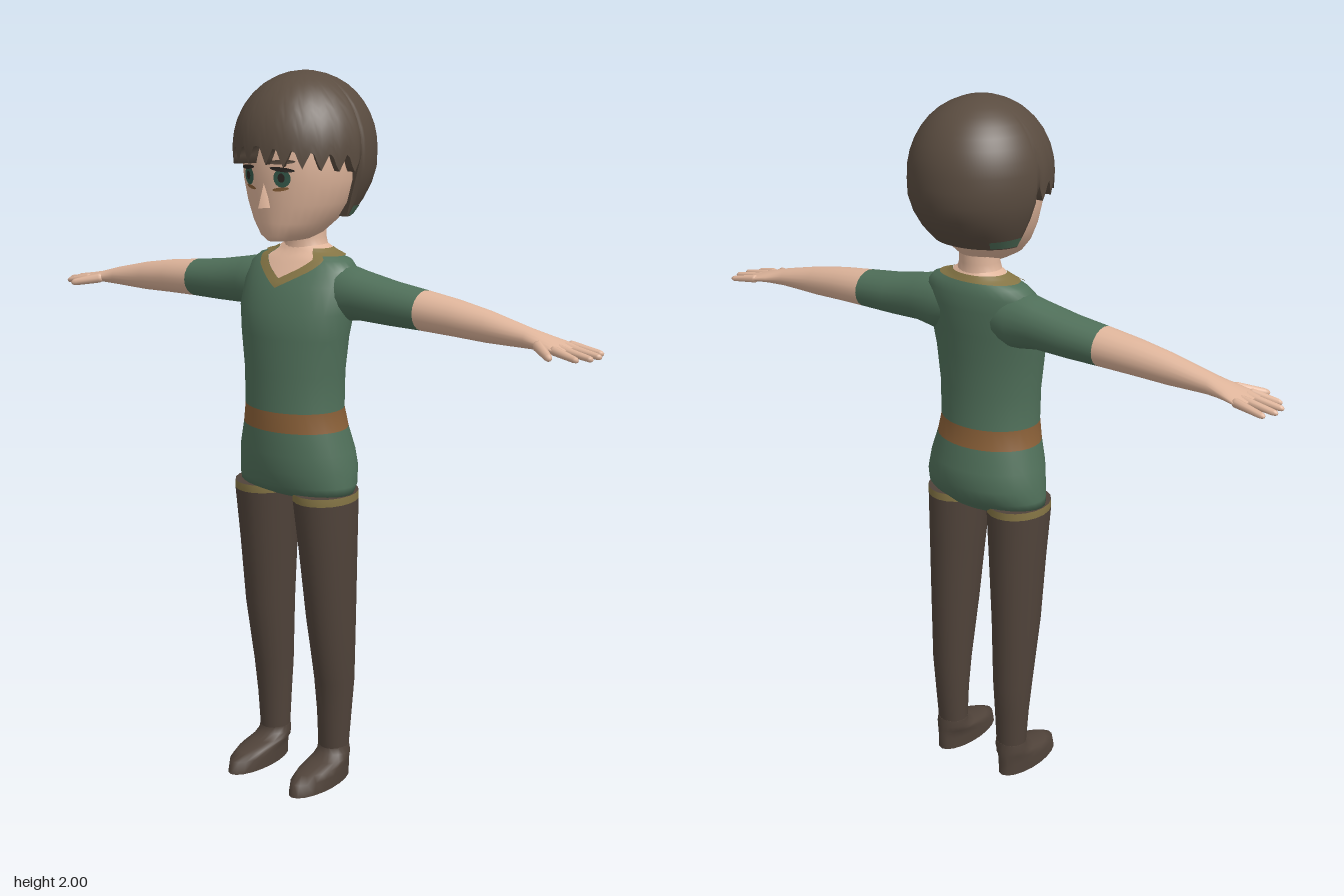
import * as THREE from 'three';

const paint = (name, color) => {
  const m = new THREE.MeshStandardMaterial({ color });
  m.name = name;
  return m;
};
const skin = paint('skin', 0xdfb59b);
const brownHair = paint('hair brown', 0x5a4c40);
const cloth = paint('trouser brown', 0x50433a);
const green = paint('shirt green', 0x50705a);
const gold = paint('trim gold', 0x857545);
const leather = paint('belt leather', 0x8a6038);
const irisGreen = paint('iris green', 0x35594a);
const dark = paint('dark line', 0x2b2622);

const TAU = Math.PI * 2;
const lerp = THREE.MathUtils.lerp;

// Cross-section tables run from top to bottom: [y, centre x, half width, front z, back z]
const torsoTable = [
  [1.54, 0, 0.055, 0.042, -0.052], [1.52, 0, 0.095, 0.055, -0.065], [1.505, 0, 0.15, 0.07, -0.075],
  [1.48, 0, 0.175, 0.09, -0.083], [1.44, 0, 0.18, 0.12, -0.085], [1.37, 0, 0.177, 0.152, -0.08],
  [1.3, 0, 0.165, 0.16, -0.073], [1.2, 0, 0.152, 0.16, -0.07], [1.1, 0, 0.147, 0.165, -0.075],
  [1.045, 0, 0.157, 0.165, -0.085], [0.98, 0, 0.175, 0.165, -0.1], [0.93, 0, 0.183, 0.16, -0.105],
  [0.89, 0, 0.187, 0.15, -0.09], [0.868, 0, 0.186, 0.138, -0.066], [0.85, 0, 0.13, 0.1, -0.05],
];
const headTable = [
  [1.94, 0, 0.09, 0.09, -0.09], [1.88, 0, 0.15, 0.155, -0.15], [1.8, 0, 0.165, 0.175, -0.17],
  [1.72, 0, 0.157, 0.171, -0.16], [1.66, 0, 0.137, 0.165, -0.13], [1.61, 0, 0.106, 0.16, -0.085],
  [1.575, 0, 0.07, 0.155, -0.05], [1.56, 0, 0.042, 0.143, -0.03],
];
const neckTable = [
  [1.62, 0, 0.058, 0.05, -0.06], [1.56, 0, 0.056, 0.048, -0.058], [1.535, 0, 0.064, 0.052, -0.06],
  [1.5, 0, 0.08, 0.055, -0.065],
];
// Arms are lofted upright and then laid along x, so here y is the distance from the body
const armTable = [
  [0.84, -1.355, 0.008, 0.045, -0.052], [0.81, -1.36, 0.012, 0.052, -0.055], [0.77, -1.366, 0.018, 0.045, -0.045],
  [0.72, -1.372, 0.026, 0.034, -0.031], [0.6, -1.385, 0.041, 0.042, -0.04], [0.5, -1.395, 0.048, 0.05, -0.05],
  [0.4, -1.402, 0.053, 0.058, -0.06], [0.3, -1.408, 0.059, 0.062, -0.064], [0.2, -1.418, 0.067, 0.066, -0.066],
  [0.13, -1.42, 0.08, 0.075, -0.075], [0.08, -1.42, 0.07, 0.06, -0.07],
];
const legTable = [
  [0.868, 0.105, 0.085, 0.14, -0.062], [0.846, 0.105, 0.086, 0.14, -0.062], [0.7, 0.108, 0.077, 0.122, -0.06],
  [0.5, 0.112, 0.067, 0.1, -0.056], [0.3, 0.113, 0.057, 0.065, -0.052], [0.2, 0.112, 0.05, 0.054, -0.045],
  [0.08, 0.11, 0.044, 0.047, -0.036],
];
const shoeTable = [
  [0.1, 0.11, 0.046, 0.047, -0.038], [0.08, 0.111, 0.048, 0.052, -0.041], [0.064, 0.112, 0.05, 0.085, -0.043],
  [0.052, 0.114, 0.051, 0.155, -0.044], [0.035, 0.115, 0.052, 0.19, -0.045], [0, 0.115, 0.051, 0.2, -0.045],
];
// Domed crown above straight-falling sides
const hairTable = [0, 0.2, 0.4, 0.6, 0.8, 1, 1.2, 1.4]
  .map(a => [1.8 + 0.2 * Math.cos(a), 0, 0.19 * Math.sin(a), 0.2 * Math.sin(a), -0.2 * Math.sin(a)]);
hairTable.push([1.8, 0, 0.19, 0.2, -0.2], [1.74, 0, 0.186, 0.2, -0.2],
  [1.68, 0, 0.165, 0.16, -0.175], [1.62, 0, 0.13, 0.09, -0.11]);

// Cross-section at any height
function sectionAt(table, y) {
  let i = 0;
  while (i < table.length - 2 && y < table[i + 1][0]) i++;
  const a = table[i], b = table[i + 1];
  const k = THREE.MathUtils.clamp((a[0] - y) / (a[0] - b[0]), 0, 1);
  return [y, ...[1, 2, 3, 4].map(n => lerp(a[n], b[n], k))];
}

// Point on a section; angle 0 is the front and a quarter turn is +x
function onSection([y, cx, rx, zf, zb], t, grow = 0) {
  return [cx + (rx + grow) * Math.sin(t), y, (zf + zb) / 2 + ((zf - zb) / 2 + grow) * Math.cos(t)];
}

// Joins rows of points, listed top to bottom, into one smooth skin
function skinRows(rows, closed, bandOf) {
  const n = rows[0].length, index = [], geo = new THREE.BufferGeometry();
  for (let i = 0; i < rows.length - 1; i++) {
    const start = index.length;
    for (let j = 0; j < (closed ? n : n - 1); j++) {
      const k = (j + 1) % n, a = i * n, b = a + n;
      index.push(a + j, b + j, b + k, a + j, b + k, a + k);
    }
    if (bandOf) geo.addGroup(start, index.length - start, bandOf(i));
  }
  geo.setAttribute('position', new THREE.Float32BufferAttribute(rows.flat(2), 3));
  geo.setIndex(index);
  geo.computeVertexNormals();
  return geo;
}

function loft(table, sides = 24, bandOf) {
  const first = table[0], last = table[table.length - 1];
  const point = s => [s[0], s[1], 0, (s[3] + s[4]) / 2, (s[3] + s[4]) / 2];
  // end rings are doubled so the caps keep a sharp edge
  const all = [point(first), first, ...table, last, point(last)];
  const rows = all.map(s => Array.from({ length: sides }, (_, j) => onSection(s, j / sides * TAU)));
  return skinRows(rows, true, bandOf && (i => bandOf(i - 2)));
}

// Strip lying on a lofted surface, between two heights that vary with the angle
function strip(table, topY, bottomY, grow, from, to, cols, steps = 5) {
  const rows = [];
  for (let i = 0; i <= steps; i++) {
    rows.push(Array.from({ length: cols + 1 }, (_, j) => {
      const t = lerp(from, to, j / cols);
      const p = onSection(sectionAt(table, lerp(topY(t), bottomY(t), i / steps)), t, grow);
      p[1] += grow * 0.7;
      return p;
    }));
  }
  return skinRows(rows, false);
}

function mirrored(source) {
  const geo = source.clone().scale(-1, 1, 1), ix = geo.index;
  for (let i = 0; i < ix.count; i += 3) {
    const a = ix.getX(i);
    ix.setX(i, ix.getX(i + 2));
    ix.setX(i + 2, a);
  }
  geo.computeVertexNormals();
  return geo;
}

// Tapered finger from base to tip
function finger(base, tip, r) {
  const a = new THREE.Vector3(...base), b = new THREE.Vector3(...tip), d = b.clone().sub(a);
  const geo = new THREE.CapsuleGeometry(r, d.length() - r, 3, 8);
  const p = geo.attributes.position, len = d.length();
  for (let i = 0; i < p.count; i++) {
    const k = 1 - 0.35 * (p.getY(i) / len + 0.5);
    p.setX(i, p.getX(i) * k);
    p.setZ(i, p.getZ(i) * k);
  }
  geo.applyQuaternion(new THREE.Quaternion().setFromUnitVectors(new THREE.Vector3(0, 1, 0), d.normalize()));
  return geo.translate(...a.add(b).multiplyScalar(0.5).toArray());
}

// Oval plate laid on the face
function faceOval(x, y, w, h, tilt, lift) {
  const geo = new THREE.CircleGeometry(1, 16).scale(w, h, 1).rotateZ(tilt).translate(x, y, 0);
  const p = geo.attributes.position;
  for (let i = 0; i < p.count; i++) {
    const [, , rx, zf, zb] = sectionAt(headTable, p.getY(i));
    p.setZ(i, (zf + zb) / 2 + (zf - zb) / 2 * Math.sqrt(1 - (p.getX(i) / rx) ** 2) + lift);
  }
  geo.computeVertexNormals();
  return geo;
}

export function createModel() {
  const model = new THREE.Group();
  model.name = 'person';
  const add = (name, geo, mat) => {
    const mesh = new THREE.Mesh(geo, mat);
    mesh.name = name;
    model.add(mesh);
  };
  const addPair = (name, geo, mat) => {
    add(name + 'Left', geo, mat);
    add(name + 'Right', mirrored(geo), mat);
  };

  // Shirt with belt
  add('shirt', loft(torsoTable, 32, i => (i === 8 ? 1 : 0)), [green, leather]);

  // V-neck: gold trim with bare skin above it
  const trimLow = t => 1.43 + 0.083 * Math.min(1, Math.abs(t) / 0.85);
  const trimHigh = t => Math.min(1.53, trimLow(t) + 0.024);
  add('collarTrim', strip(torsoTable, trimHigh, trimLow, 0.005, -Math.PI, Math.PI, 96), gold);
  add('neckline', strip(torsoTable, () => 1.54, trimHigh, 0.004, -Math.PI, Math.PI, 96, 8), skin);

  // Limbs
  addPair('arm', loft(armTable, 20, i => (i >= 6 ? 1 : 0)).rotateZ(-Math.PI / 2), [skin, green]);
  addPair('leg', loft(legTable, 20, i => (i === 0 ? 1 : 0)), [cloth, gold]);
  addPair('shoe', loft(shoeTable, 20), cloth);

  // Fingers and thumb
  [[-0.042, -0.052, 0.895], [-0.015, -0.016, 0.91], [0.013, 0.02, 0.907], [0.038, 0.052, 0.885]]
    .forEach(([z0, z1, x], i) => addPair('finger' + (i + 1),
      finger([0.81, 1.36, z0], [x, 1.347, z1], 0.0125), skin));
  addPair('thumb', finger([0.765, 1.365, 0.035], [0.83, 1.35, 0.087], 0.015), skin);

  // Head
  add('neck', loft(neckTable), skin);
  add('head', loft(headTable, 32), skin);
  add('nose', new THREE.ConeGeometry(0.028, 0.075, 4).scale(0.6, 1, 1).translate(0, 1.69, 0.166), skin);

  // Eyes and brows
  addPair('lowerLid', faceOval(0.05, 1.703, 0.022, 0.005, 0.15, 0.003), leather);
  addPair('iris', faceOval(0.056, 1.732, 0.022, 0.024, 0, 0.004), irisGreen);
  addPair('pupil', faceOval(0.056, 1.733, 0.009, 0.012, 0, 0.006), dark);
  addPair('upperLid', faceOval(0.058, 1.755, 0.032, 0.006, -0.1, 0.007), dark);
  addPair('brow', faceOval(0.056, 1.774, 0.035, 0.006, 0.06, 0.005), brownHair);

  // Hair: jagged fringe in front, longer at the sides and back
  const edge = t => {
    const a = Math.abs(t);
    if (a > 1.6) return 1.62;
    const tooth = Math.abs(((a / 0.26 + 0.4) % 1) - 0.5) * 2;
    return 1.825 - 0.02 * a - 0.055 * tooth;
  };
  const angles = Array.from({ length: 120 }, (_, j) => (j / 120 - 0.5) * TAU);
  const hairRows = Array.from({ length: 15 }, (_, i) => angles.map(t =>
    onSection(sectionAt(hairTable, edge(t) + (2 - edge(t)) * Math.cos(i / 14 * Math.PI / 2)), t)));
  add('hair', skinRows(hairRows, true), brownHair);
  add('hairUnderside', skinRows([0, -0.045].map(grow =>
    angles.map(t => onSection(sectionAt(hairTable, edge(t)), t, grow))), true), brownHair);
  addPair('hairTie', strip(hairTable, t => 1.648 - 0.008 * (t - 1.65), () => 1.621, 0.004, 1.65, 2.35, 10), green);

  return model;
}
